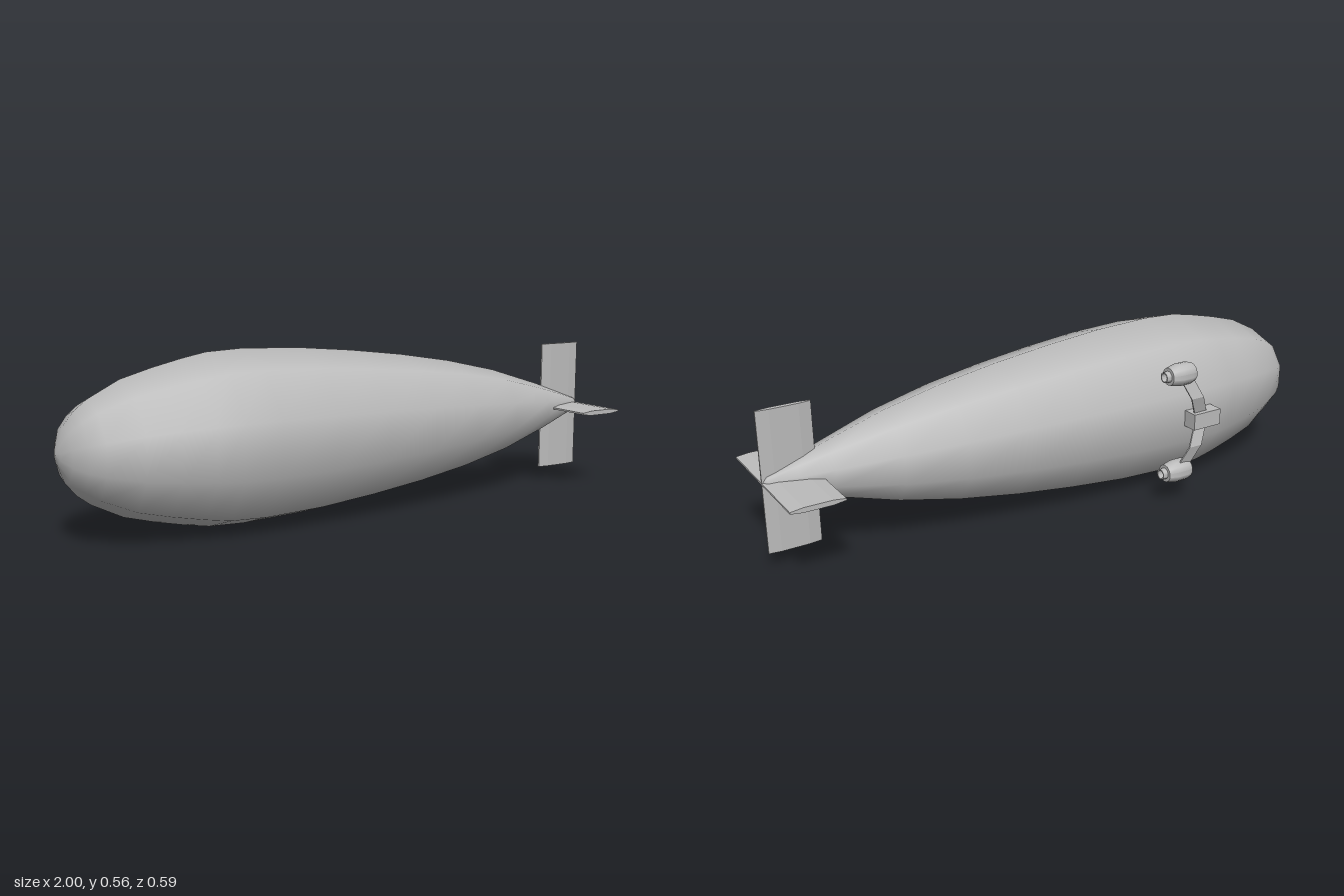
import * as THREE from 'three';
import { toCreasedNormals } from 'three/addons/utils/BufferGeometryUtils.js';

const AXIS_Y = 0.281, AXIS_Z = 0.03;
const POD_Z = -0.257;

const v2 = (list) => list.map(([x, y]) => new THREE.Vector2(x, y));

// Profile given as [x, radius], revolved about the x axis with a corner on top
function revolveX(profile, sides) {
  const g = new THREE.LatheGeometry(v2(profile.map(([x, r]) => [r, x])), sides, -Math.PI / 2);
  return g.rotateZ(-Math.PI / 2);
}

export function createModel() {
  const group = new THREE.Group();
  const grey = new THREE.MeshStandardMaterial({ color: 0xbbbbbb, side: THREE.DoubleSide });
  grey.name = 'plain grey';

  function add(name, geometry, x = 0, y = 0, z = 0) {
    const mesh = new THREE.Mesh(geometry, grey);
    mesh.name = name;
    mesh.position.set(x, y, z);
    group.add(mesh);
    return mesh;
  }

  // Ten-sided hull, blunt at the nose and tapering to the tail
  add('hull', revolveX([
    [-1, 0], [-0.995, 0.03], [-0.975, 0.085], [-0.94, 0.127], [-0.9, 0.158], [-0.8, 0.209],
    [-0.7, 0.237], [-0.6, 0.26], [-0.52, 0.275], [-0.4, 0.28], [-0.2, 0.272], [0, 0.253],
    [0.2, 0.228], [0.4, 0.195], [0.6, 0.15], [0.8, 0.088], [0.9, 0.053], [0.985, 0.022], [1, 0],
  ], 10), 0, AXIS_Y, AXIS_Z);

  // Cross of tail fins, each pair a full-span blade
  const blade = new THREE.Shape(v2([
    [0.83, -0.003], [0.87, -0.008], [0.96, -0.008], [1, -0.003],
    [1, 0.003], [0.96, 0.008], [0.87, 0.008], [0.83, 0.003],
  ]));
  const span = 0.46;
  const fin = new THREE.ExtrudeGeometry(blade, { depth: span, bevelEnabled: false });
  fin.translate(0, 0, -span / 2);
  add('horizontalFins', fin, 0, AXIS_Y, AXIS_Z);
  add('verticalFins', fin.clone().rotateX(-Math.PI / 2), 0, AXIS_Y, AXIS_Z);

  // Mounting block on the back side of the hull
  add('engineMount', new THREE.BoxGeometry(0.11, 0.055, 0.056), -0.43, 0.282, -0.259);

  // Bent, swept-back strut carrying both engines
  const half = [[0.265, 0.172], [0.287, 0.086], [0.26, 0]];
  const path = [...half, ...half.slice(0, 2).reverse().map(([z, y]) => [z, -y])];
  const t = 0.0025;
  const strutShape = new THREE.Shape(v2([
    ...path.map(([z, y]) => [z + t, y]),
    ...path.map(([z, y]) => [z - t, y]).reverse(),
  ]));
  const strut = new THREE.ExtrudeGeometry(strutShape, { depth: 0.05, bevelEnabled: false });
  strut.rotateY(Math.PI / 2);
  const p = strut.attributes.position;
  for (let i = 0; i < p.count; i++) p.setX(i, p.getX(i) + Math.abs(p.getY(i)) * 0.5);
  strut.computeVertexNormals();
  add('engineStrut', strut, -0.45, 0.283, 0);

  // Hollow engines with a stepped nozzle at the rear
  const engine = toCreasedNormals(revolveX([
    [-0.375, 0.024], [-0.375, 0.032], [-0.355, 0.038], [-0.315, 0.038], [-0.28, 0.03],
    [-0.28, 0.019], [-0.262, 0.018], [-0.262, 0.014], [-0.35, 0.014], [-0.375, 0.024],
  ], 14), 0.7);
  add('upperEngine', engine, 0, 0.454, POD_Z);
  add('lowerEngine', engine, 0, 0.11, POD_Z);

  return group;
}
